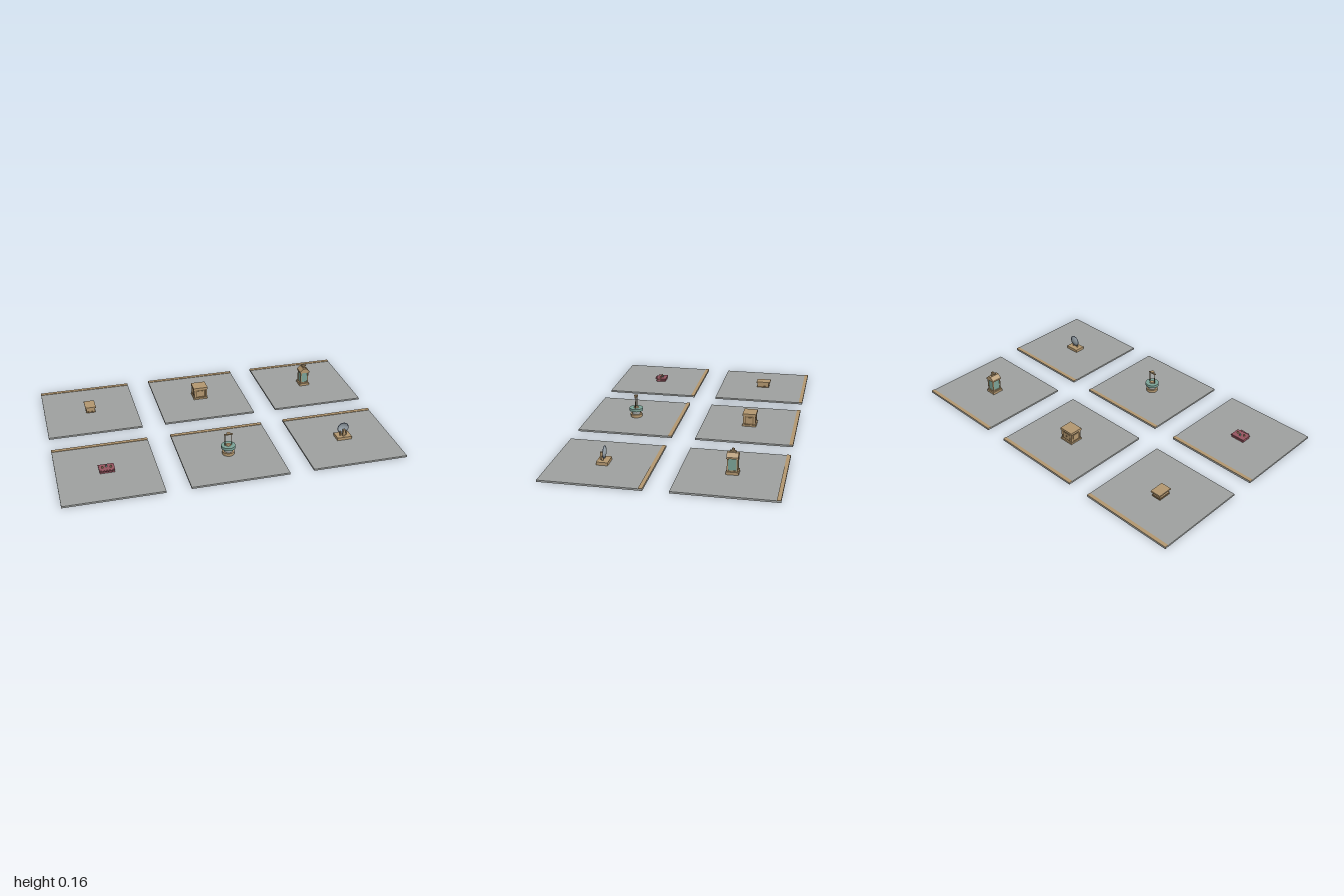
import * as THREE from 'three';

const mat = (name, color) => Object.assign(new THREE.MeshStandardMaterial({ color }), { name });

export function createModel() {
  const stone = mat('stone', 0x9ea19f), tan = mat('tan wood', 0xb3976f), brown = mat('dark wood', 0x846b49),
    teal = mat('teal', 0x7ba397), red = mat('dark red', 0x965560), blue = mat('slate blue', 0x56698a),
    silver = mat('silver', 0x98a3ab);
  silver.side = THREE.DoubleSide;
  const root = new THREE.Group();
  root.name = 'displayTiles';

  const add = (parent, name, geo, m, x, y, z) => {
    const mesh = new THREE.Mesh(geo, m);
    mesh.name = name;
    mesh.position.set(x, y, z);
    parent.add(mesh);
    return mesh;
  };
  // Box and cylinder standing on height y
  const box = (p, name, m, w, h, d, x, y, z) => add(p, name, new THREE.BoxGeometry(w, h, d), m, x, y + h / 2, z);
  const cyl = (p, name, m, rt, rb, h, x, y, z, n = 24) =>
    add(p, name, new THREE.CylinderGeometry(rt, rb, h, n), m, x, y + h / 2, z);
  const corners = (fn) => [-1, 1].forEach((a) => [-1, 1].forEach((b) => fn(a, b)));

  // Each tile carries one small object whose origin is on the tile top
  const TOP = 0.0105;
  const tile = (name, col, row) => {
    const g = new THREE.Group();
    g.name = name + 'Tile';
    g.position.set(col * 0.714, 0, row * 0.357);
    root.add(g);
    box(g, 'slab', stone, 0.572, TOP, 0.572, 0, 0, 0);
    box(g, 'backTrim', tan, 0.572, 0.003, 0.022, 0, TOP, -0.275);
    const o = new THREE.Group();
    o.name = name;
    o.position.y = TOP;
    g.add(o);
    return o;
  };

  // Fringed cloth stand with small pieces
  const cloth = tile('fringedStand', -1, 1);
  box(cloth, 'base', red, 0.084, 0.009, 0.06, 0, 0, -0.002);
  box(cloth, 'middle', brown, 0.07, 0.005, 0.05, 0, 0.009, -0.002);
  box(cloth, 'top', red, 0.09, 0.006, 0.064, 0, 0.014, -0.003);
  for (let i = 0; i < 4; i++) box(cloth, 'fringe', red, 0.01, 0.006, 0.012, -0.024 + i * 0.016, 0.014, 0.034);
  [-0.024, 0, 0.024].forEach((x, i) =>
    cyl(cloth, 'piece', i === 1 ? teal : tan, 0.004, 0.006, 0.012, x, 0.02, i === 1 ? -0.008 : 0.002, 10));

  // Round pedestal with basin and a tall open frame
  const basin = tile('basin', 0, 1);
  cyl(basin, 'foot', tan, 0.036, 0.036, 0.018, 0, 0, 0);
  cyl(basin, 'pedestal', stone, 0.026, 0.026, 0.022, 0, 0.018, 0);
  cyl(basin, 'bowl', teal, 0.042, 0.042, 0.017, 0, 0.04, 0, 32);
  cyl(basin, 'collar', tan, 0.013, 0.016, 0.006, 0, 0.057, 0);
  [-1, 1].forEach((s) => cyl(basin, 'post', brown, 0.0025, 0.0025, 0.068, s * 0.02, 0.057, 0, 8));
  box(basin, 'crossbar', tan, 0.052, 0.006, 0.008, 0, 0.125, 0);
  cyl(basin, 'cap', tan, 0.012, 0.012, 0.007, 0, 0.131, 0);

  // Concave round mirror on a wooden stand
  const mirror = tile('mirror', 1, 1);
  box(mirror, 'base', tan, 0.09, 0.018, 0.066, 0, 0, 0);
  box(mirror, 'post', tan, 0.014, 0.042, 0.016, 0, 0.018, 0.012);
  [-1, 1].forEach((s) => box(mirror, 'sideSupport', tan, 0.006, 0.026, 0.01, s * 0.018, 0.018, 0.002));
  const R = 0.06, angle = Math.asin(0.034 / R);
  const dish = new THREE.SphereGeometry(R, 32, 8, 0, Math.PI * 2, 0, angle)
    .rotateX(-Math.PI / 2).translate(0, 0, R * Math.cos(angle));
  add(mirror, 'dish', dish, silver, 0, 0.062, -0.004);
  add(mirror, 'dishRim', new THREE.TorusGeometry(0.034, 0.0018, 8, 32), blue, 0, 0.062, -0.004);

  // Low case with an overhanging lid
  const lowCase = tile('lowCase', -1, -1);
  box(lowCase, 'plinth', brown, 0.058, 0.008, 0.08, 0, 0, 0);
  box(lowCase, 'body', tan, 0.052, 0.022, 0.074, 0, 0.008, 0);
  box(lowCase, 'lid', tan, 0.066, 0.008, 0.086, 0, 0.03, 0);
  box(lowCase, 'spine', tan, 0.066, 0.01, 0.006, 0, 0.028, -0.044);

  // Chest with framed panels
  const chest = tile('chest', 0, -1);
  box(chest, 'plinth', tan, 0.09, 0.01, 0.084, 0, 0, 0);
  box(chest, 'body', brown, 0.078, 0.06, 0.068, 0, 0.01, 0);
  corners((a, b) => box(chest, 'cornerPost', tan, 0.01, 0.056, 0.01, a * 0.037, 0.01, b * 0.032));
  box(chest, 'lid', tan, 0.092, 0.014, 0.082, 0, 0.066, 0);
  [-1, 1].forEach((s) => {
    box(chest, 'panel', tan, 0.048, 0.036, 0.004, 0, 0.02, s * 0.035);
    box(chest, 'sidePanel', tan, 0.004, 0.036, 0.04, s * 0.04, 0.02, 0);
  });
  cyl(chest, 'knob', brown, 0.005, 0.005, 0.006, 0, 0.035, -0.038, 12).rotation.x = Math.PI / 2;

  // Glazed lantern with a gabled roof
  const lantern = tile('lantern', 1, -1);
  box(lantern, 'base', tan, 0.064, 0.016, 0.07, 0, 0, 0);
  box(lantern, 'glass', teal, 0.046, 0.076, 0.052, 0, 0.016, 0);
  corners((a, b) => box(lantern, 'cornerPost', tan, 0.007, 0.076, 0.007, a * 0.023, 0.016, b * 0.026));
  box(lantern, 'lowerRail', tan, 0.05, 0.007, 0.056, 0, 0.016, 0);
  box(lantern, 'eaves', tan, 0.064, 0.009, 0.064, 0, 0.092, 0);
  const gable = new THREE.Shape([[-0.032, 0], [0.032, 0], [0.01, 0.02], [-0.01, 0.02]]
    .map(([x, y]) => new THREE.Vector2(x, y)));
  add(lantern, 'roof', new THREE.ExtrudeGeometry(gable, { depth: 0.064, bevelEnabled: false }), tan, 0, 0.101, -0.032);
  box(lantern, 'ridge', tan, 0.014, 0.009, 0.034, 0, 0.121, 0);
  box(lantern, 'cap', tan, 0.03, 0.007, 0.014, 0, 0.13, 0);
  cyl(lantern, 'finial', tan, 0.003, 0.006, 0.009, 0, 0.137, 0, 8);

  return root;
}
